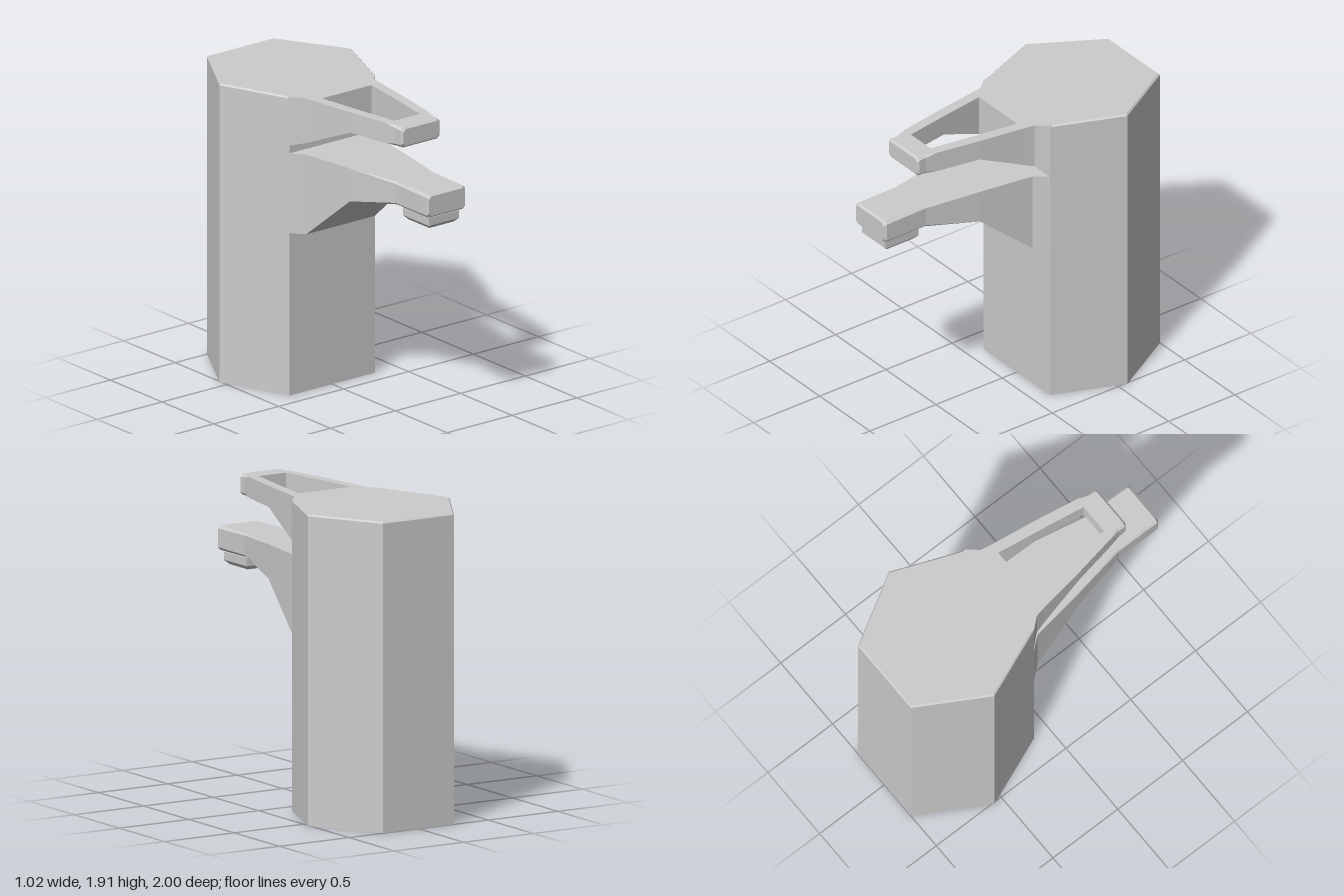
import * as THREE from 'three';

const material = new THREE.MeshStandardMaterial({ color: 0xcccccc, flatShading: true });

// Skin a row of matching convex sections, counter-clockwise seen from the far end.
function loft(sections, caps = true) {
  const pos = [];
  const tri = (...pts) => pts.forEach((p) => pos.push(...p));
  for (let s = 0; s < sections.length - 1; s++) {
    const a = sections[s], b = sections[s + 1];
    for (let i = 0; i < a.length; i++) {
      const j = (i + 1) % a.length;
      tri(a[i], a[j], b[j]);
      tri(a[i], b[j], b[i]);
    }
  }
  if (caps) {
    const first = sections[0], last = sections[sections.length - 1];
    for (let i = 1; i < first.length - 1; i++) {
      tri(first[0], first[i + 1], first[i]);
      tri(last[0], last[i], last[i + 1]);
    }
  }
  const g = new THREE.BufferGeometry();
  g.setAttribute('position', new THREE.Float32BufferAttribute(pos, 3));
  g.computeVertexNormals();
  return g;
}

// Upright rectangle at depth z with corners cut by c.
function section(z, x0, x1, y0, y1, c = 0) {
  return [
    [x0 + c, y0, z], [x1 - c, y0, z], [x1, y0 + c, z], [x1, y1 - c, z],
    [x1 - c, y1, z], [x0 + c, y1, z], [x0, y1 - c, z], [x0, y0 + c, z],
  ];
}

const centred = ([z, w, y0, y1, c]) => section(z, -w, w, y0, y1, c);

function add(parent, name, geometry) {
  const mesh = new THREE.Mesh(geometry, material);
  mesh.name = name;
  parent.add(mesh);
  return mesh;
}

export function createModel() {
  const model = new THREE.Group();
  model.name = 'faucet';

  // Six-sided column with a fine softened top edge
  const plan = [[-0.33, -0.11], [0.33, -0.11], [0.51, -0.56], [0.255, -1], [-0.255, -1], [-0.51, -0.56]];
  const ring = (y, k) => plan.map(([x, z]) => [x * k, y, -0.56 + (z + 0.56) * k]);
  add(model, 'body', loft([ring(0, 1), ring(1.9, 1), ring(1.91, 0.98)]));

  // Spout: depth, half width, underside, top, corner cut
  add(model, 'spout', loft([
    [-0.13, 0.33, 1.04, 1.55, 0],
    [-0.11, 0.33, 1.04, 1.55, 0],
    [-0.03, 0.265, 1.04, 1.55, 0],
    [0.33, 0.213, 1.34, 1.55, 0],
    [0.69, 0.15, 1.405, 1.55, 0.012],
    [0.985, 0.15, 1.4, 1.55, 0.018],
    [1, 0.138, 1.412, 1.538, 0.018],
  ].map(centred)));

  // Square outlet below the spout tip, with a recess
  const outletProfile = [
    [0, 1.37], [0.065, 1.37], [0.08, 1.315], [0.1, 1.315],
    [0.125, 1.34], [0.125, 1.39], [0.112, 1.39], [0.112, 1.42],
  ].map(([r, y]) => new THREE.Vector2(r * Math.SQRT2, y));
  const outletGeometry = new THREE.LatheGeometry(outletProfile, 4).rotateY(Math.PI / 4)
    .scale(0.93, 1, 1).translate(0, 0, 0.845);
  add(model, 'outlet', outletGeometry);

  // Lever handle: a root, two arms around an opening, and a tip
  const handle = new THREE.Group();
  handle.name = 'handle';
  model.add(handle);
  add(handle, 'handleRoot', loft([
    [-0.13, 0.33, 1.6, 1.91, 0],
    [-0.11, 0.33, 1.6, 1.91, 0],
    [-0.04, 0.27, 1.62, 1.91, 0],
    [0.03, 0.257, 1.65, 1.91, 0],
  ].map(centred)));
  // Arm: depth, inner x, outer x, underside
  const arm = [[0.03, 0.19, 0.257, 1.65], [0.33, 0.145, 0.213, 1.78], [0.615, 0.098, 0.163, 1.78]];
  for (const side of [1, -1]) {
    add(handle, side > 0 ? 'leftArm' : 'rightArm', loft(arm.map(([z, a, b, y]) =>
      section(z, side > 0 ? a : -b, side > 0 ? b : -a, y, 1.91)), false));
  }
  add(handle, 'handleTip', loft([
    [0.615, 0.163, 1.78, 1.91, 0],
    [0.69, 0.15, 1.78, 1.91, 0.015],
    [0.737, 0.15, 1.78, 1.91, 0.018],
    [0.75, 0.138, 1.792, 1.898, 0.018],
  ].map(centred)));

  return model;
}
